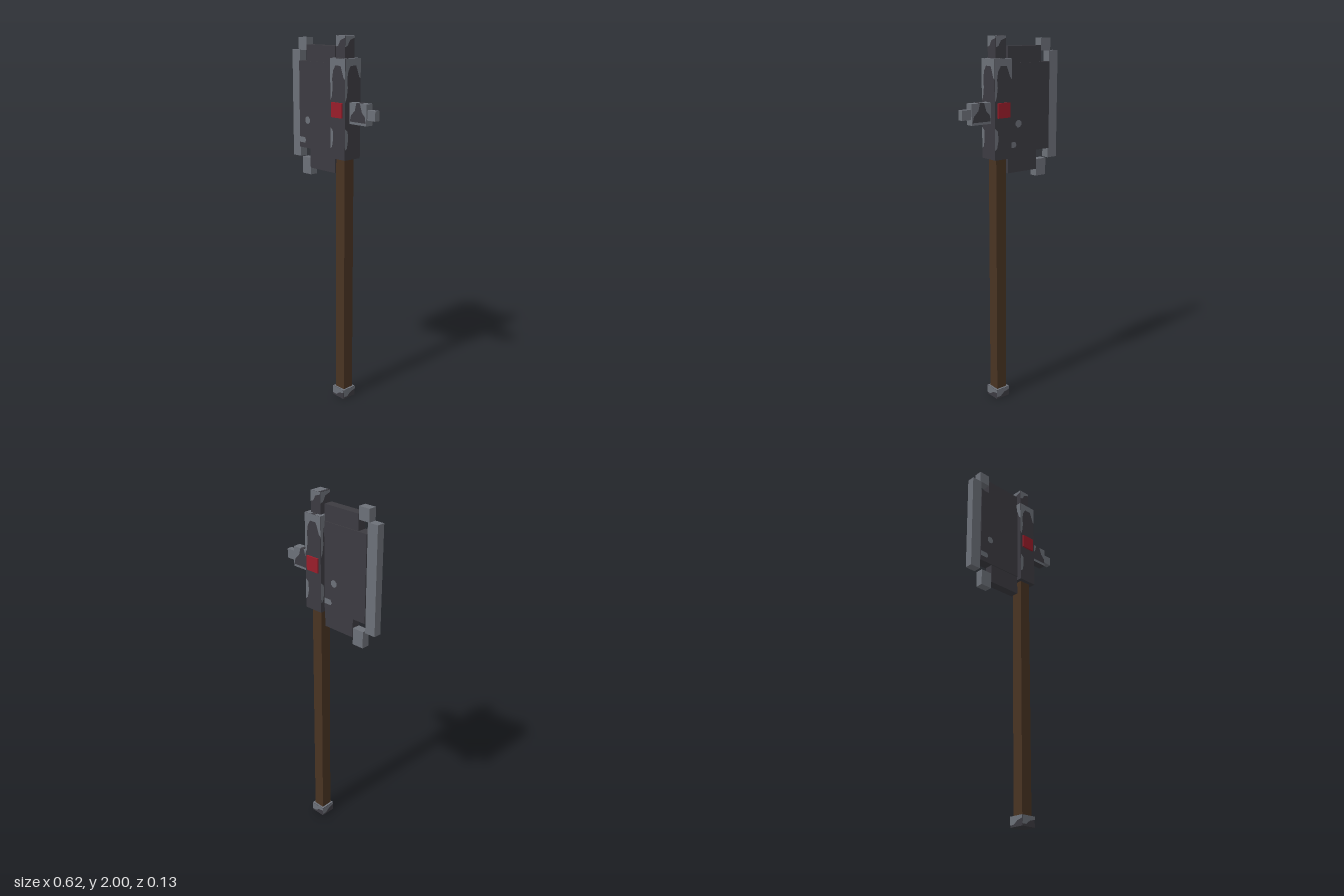
import * as THREE from 'three';

const mat = (name, color) => new THREE.MeshStandardMaterial({ name, color });

export function createModel() {
  const dark = mat('darkIron', 0x3c3b41);
  const light = mat('wornSteel', 0x6c7078);
  const red = mat('redGem', 0x981d2a);
  const wood = mat('darkWood', 0x483322);
  const model = new THREE.Group();
  model.name = 'battleAxe';

  // Box given by its x and y limits and half depth; materials may be one per face
  function box(name, material, x0, x1, y0, y1, hz) {
    const mesh = new THREE.Mesh(new THREE.BoxGeometry(x1 - x0, y1 - y0, hz * 2), material);
    mesh.position.set((x0 + x1) / 2, (y0 + y1) / 2, 0);
    mesh.name = name;
    model.add(mesh);
    return mesh;
  }

  // Flat wear marks on chosen sides of a box: 0 front, 1 left, 2 back, 3 right
  // Points run 0 to 1 across and up the face, seen from outside
  function wear(part, material, sides, polygons) {
    const { width, height, depth } = part.geometry.parameters;
    for (const side of sides) {
      const w = side % 2 ? depth : width;
      const d = side % 2 ? width : depth;
      const shapes = polygons.map(p => new THREE.Shape(
        p.map(([u, v]) => new THREE.Vector2((u - 0.5) * w, (v - 0.5) * height))));
      const mesh = new THREE.Mesh(new THREE.ShapeGeometry(shapes), material);
      mesh.geometry.translate(0, 0, d / 2 + 0.0015);
      mesh.rotation.y = side * Math.PI / 2;
      mesh.name = part.name + 'Wear';
      part.add(mesh);
    }
  }
  const all = [0, 1, 2, 3];
  const lightTop = [dark, dark, light, dark, dark, dark];

  // Shaft and pommel
  box('shaft', wood, 0.048, 0.112, 0.05, 1.38, 0.032);
  const pommel = box('pommel', lightTop, 0.037, 0.123, 0, 0.055, 0.043);
  wear(pommel, light, all, [
    [[0, 0.2], [0.3, 0.2], [0.6, 0.55], [1, 0.7], [1, 1], [0, 1]],
  ]);

  // Socket holding the head, with worn edges
  const socket = box('socket', lightTop, 0.028, 0.136, 1.376, 1.889, 0.054);
  wear(socket, light, all, [
    [[0, 0.58], [0.1, 0.62], [0.17, 0.72], [0.13, 0.8], [0.2, 0.88], [0.35, 0.93],
      [0.7, 0.93], [0.8, 0.88], [0.9, 0.82], [1, 0.8], [1, 1], [0, 1]],
    [[0, 0.1], [0.12, 0.12], [0.2, 0.2], [0.17, 0.29], [0, 0.32]],
  ]);
  const socketMark = box('socketTopMark', dark, 0.07, 0.092, 1.889, 1.891, 0.054);
  socketMark.castShadow = false;

  // Top spike
  const spike = box('topSpike', lightTop, 0.048, 0.113, 1.889, 2, 0.033);
  wear(spike, light, all, [
    [[0, 0.5], [0.25, 0.55], [0.5, 0.8], [1, 0.9], [1, 1], [0, 1]],
  ]);
  box('topSpikeMark', dark, 0.048, 0.061, 1.999, 2.001, 0.033);

  // Gems on both faces of the socket
  for (const s of [1, -1]) {
    const gem = box(s > 0 ? 'frontGem' : 'backGem', red, 0.043, 0.12, 1.592, 1.669, 0.005);
    gem.position.z = s * 0.058;
  }

  // Back spike and its tip
  const back = box('backSpike', [light, light, light, dark, light, light], 0.136, 0.257, 1.563, 1.672, 0.022);
  wear(back, dark, [0, 2], [
    [[0.03, 0.12], [0.97, 0.12], [0.93, 0.4], [0.75, 0.6], [0.63, 1], [0.42, 1], [0.33, 0.65], [0.1, 0.4]],
  ]);
  box('backSpikeMark', dark, 0.186, 0.208, 1.671, 1.6735, 0.022);
  box('backSpikeTip', light, 0.257, 0.312, 1.592, 1.643, 0.015);

  // Blade plates
  const blade = box('bladePlate', dark, -0.25, 0.028, 1.397, 1.862, 0.028);
  const spot = Array.from({ length: 8 }, (_, i) => {
    const a = (i + 0.5) * Math.PI / 4;
    return [0.24 + 0.075 * Math.cos(a), 0.328 + 0.045 * Math.sin(a)];
  });
  wear(blade, light, [0, 2], [spot,
    [[0, 0.06], [0.16, 0.06], [0.19, 0.09], [0.16, 0.125], [0, 0.125]]]);
  box('upperBladePlate', dark, -0.193, 0.028, 1.862, 1.947, 0.024);
  box('lowerBladePlate', dark, -0.167, 0.028, 1.291, 1.397, 0.024);

  // Cutting edge and corner blocks
  box('cuttingEdge', light, -0.312, -0.25, 1.344, 1.918, 0.022);
  box('upperCorner', light, -0.259, -0.193, 1.918, 1.984, 0.022);
  box('lowerCorner', light, -0.235, -0.167, 1.252, 1.344, 0.022);

  return model;
}
